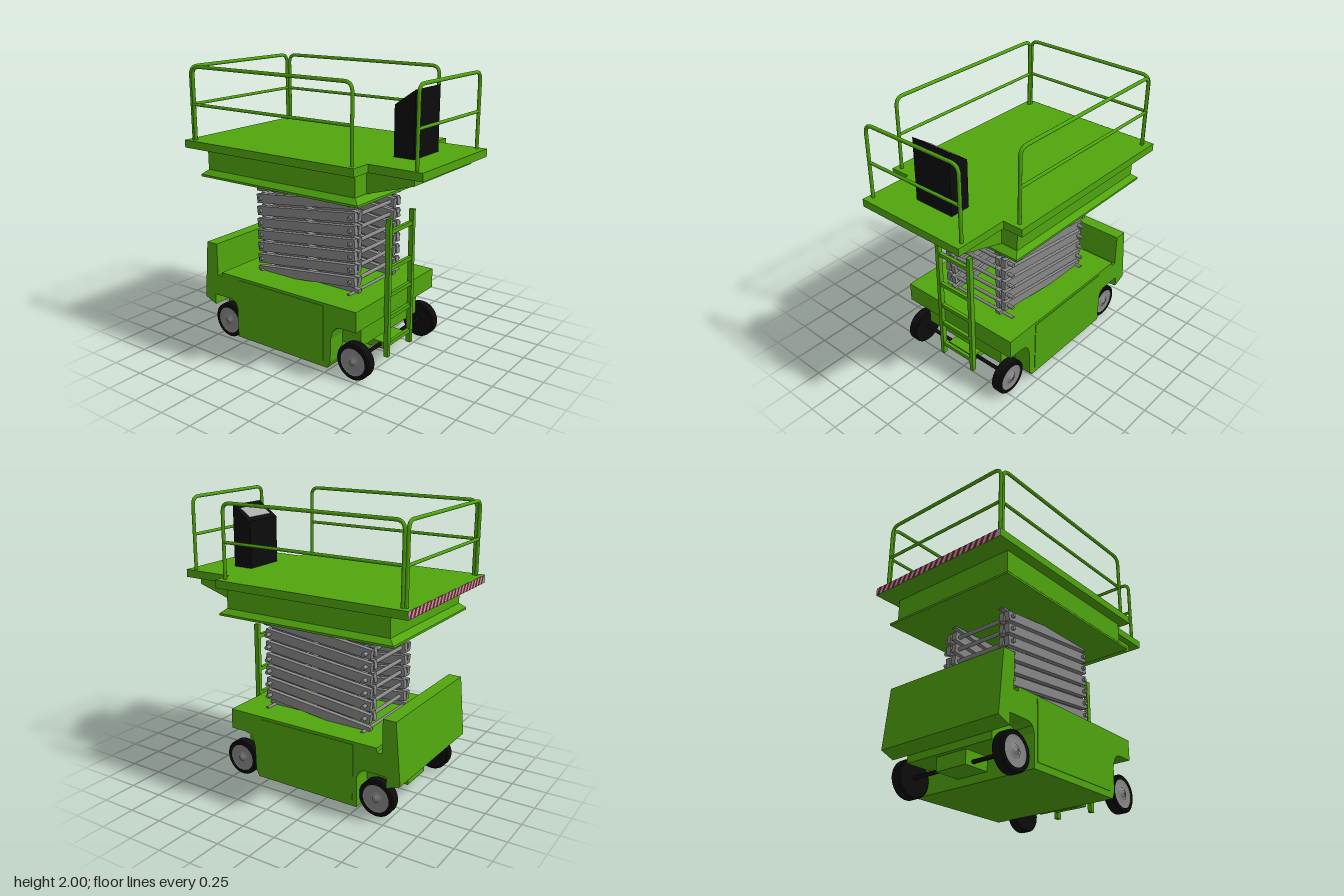
import * as THREE from 'three';

const paint = (color) => new THREE.MeshStandardMaterial({ color, side: THREE.DoubleSide });
const green = paint(0x50a60e), black = paint(0x0c0c0c), steel = paint(0x888888);
const red = paint(0x8c1030), light = paint(0xaaaaaa);

export function createModel() {
  const root = new THREE.Group();

  const add = (name, geometry, material, parent = root) => {
    const mesh = new THREE.Mesh(geometry, material);
    mesh.name = name;
    parent.add(mesh);
    return mesh;
  };
  const group = (name) => {
    const g = new THREE.Group();
    g.name = name;
    root.add(g);
    return g;
  };
  // Box given by its limits on each axis
  const box = (name, mat, [x0, x1], [y0, y1], [z0, z1], parent) => {
    const geo = new THREE.BoxGeometry(x1 - x0, y1 - y0, z1 - z0);
    geo.translate((x0 + x1) / 2, (y0 + y1) / 2, (z0 + z1) / 2);
    return add(name, geo, mat, parent);
  };
  // Side profile in x and y, extruded from z0 to z1
  const prism = (name, mat, pts, z0, z1, parent) => {
    const shape = new THREE.Shape(pts.map(([x, y]) => new THREE.Vector2(x, y)));
    const geo = new THREE.ExtrudeGeometry(shape, { depth: z1 - z0, bevelEnabled: false });
    geo.translate(0, 0, z0);
    return add(name, geo, mat, parent);
  };
  // Round bar along z
  const bar = (name, mat, r, x, y, z0, z1, parent, sides = 12) => {
    const geo = new THREE.CylinderGeometry(r, r, z1 - z0, sides);
    geo.rotateX(Math.PI / 2);
    geo.translate(x, y, (z0 + z1) / 2);
    return add(name, geo, mat, parent);
  };

  // Chassis: outer sides have wheel arches, the core between them does not
  const chassis = group('chassis');
  const zMid = 0.022, zA = -0.466, zB = 0.51;
  const upper = [[0.515, 0.37], [0.515, 0.515], [-0.675, 0.515], [-0.675, 0.485], [-0.715, 0.485],
    [-0.715, 0.725], [-0.81, 0.725], [-0.85, 0.29], [-0.75, 0.25]];
  const sideProfile = [[-0.53, 0.05], [0.28, 0.05], [0.305, 0.1], [0.31, 0.27], [0.325, 0.325], [0.355, 0.36], [0.4, 0.37],
    ...upper, [-0.75, 0.33], [-0.58, 0.33], [-0.545, 0.31], [-0.53, 0.27]];
  const coreProfile = [[-0.53, 0.05], [0.28, 0.05], [0.28, 0.2], [0.46, 0.2], [0.46, 0.37],
    ...upper, [-0.75, 0.2], [-0.53, 0.2]];
  prism('chassisSide', green, sideProfile, zA, zA + 0.135, chassis);
  prism('chassisSide', green, sideProfile, zB - 0.135, zB, chassis);
  prism('chassisCore', green, coreProfile, zA + 0.135, zB - 0.135, chassis);
  box('sidePanel', green, [-0.5, 0.25], [0.095, 0.495], [zB, zB + 0.004], chassis);
  box('sidePanel', green, [-0.5, 0.25], [0.095, 0.495], [zA - 0.004, zA], chassis);
  box('steeringBox', green, [0.28, 0.5], [0.105, 0.155], [-0.1, 0.145], chassis);
  box('steeringMount', green, [0.28, 0.36], [0.07, 0.2], [-0.14, 0.18], chassis);
  box('rearAxleMount', green, [-0.72, -0.53], [0.105, 0.2], [-0.1, 0.145], chassis);

  // Wheels: lathed tyre, hub plate and rings on the outer face
  const tyreProfile = [[0.098, 0.038], [0.12, 0.038], [0.13, 0.03], [0.13, -0.03], [0.12, -0.038], [0, -0.038]]
    .map(([r, h]) => new THREE.Vector2(r, h));
  const hubProfile = [[0.1, 0.035], [0.095, 0.028], [0.048, 0.028], [0.044, 0.034], [0.026, 0.034],
    [0.024, 0.042], [0.012, 0.042], [0.01, 0.048], [0, 0.048]].map(([r, h]) => new THREE.Vector2(r, h));
  for (const x of [-0.655, 0.463]) {
    bar('axle', black, 0.014, x, 0.135, -0.38, 0.42);
    for (const s of [1, -1]) {
      const wheel = group('wheel');
      const tyre = new THREE.LatheGeometry(tyreProfile, 40);
      add('tyre', tyre.toNonIndexed(), black, wheel).geometry.computeVertexNormals();
      add('hub', new THREE.LatheGeometry(hubProfile, 32), steel, wheel);
      wheel.rotation.x = s * Math.PI / 2;
      wheel.position.set(x, 0.132, zMid + s * 0.416);
    }
  }

  // Ladder
  const ladder = group('ladder');
  for (const z of [-0.14, 0.15]) box('ladderRail', green, [0.515, 0.55], [0.07, 1.06], [z, z + 0.03], ladder);
  for (const y of [0.16, 0.355, 0.52, 0.71, 0.965]) {
    box('ladderRung', green, [0.52, 0.545], [y - 0.014, y + 0.014], [-0.12, 0.16], ladder);
  }
  box('ladderPlate', green, [0.505, 0.52], [0.32, 0.515], [-0.12, 0.16], ladder);

  // Scissor stack: crossed arms on both sides, joined by cross rods
  const scissor = group('scissorStack');
  const xL = -0.475, xR = 0.31, pitch = 0.0907, base = 0.512;
  const armLength = Math.hypot(xR - xL, pitch) + 0.07, tilt = Math.atan2(pitch, xR - xL);
  const layers = [[0.272, 1], [0.225, -1], [-0.203, -1], [-0.252, 1]];
  for (let i = 0; i < 8; i++) {
    const y = base + i * pitch;
    for (const [z, dir] of layers) {
      const arm = add('scissorArm', new THREE.BoxGeometry(armLength, 0.066, 0.037), steel, scissor);
      arm.position.set((xL + xR) / 2, y + pitch / 2, z);
      arm.rotation.z = dir * tilt;
    }
    for (const x of [xL, xR]) bar('crossRod', steel, 0.014, x, y, -0.315, 0.31, scissor);
  }

  // Platform: deck, narrower extension, skirt with flared foot
  const platform = group('platform');
  box('deck', green, [-0.92, 0.53], [1.42, 1.475], [-0.567, 0.57], platform);
  box('deckExtension', green, [0.53, 0.92], [1.42, 1.475], [-0.42, 0.418], platform);
  box('skirt', green, [-0.77, 0.49], [1.25, 1.42], [-0.497, 0.497], platform);
  box('skirtFoot', green, [-0.81, 0.535], [1.22, 1.235], [-0.53, 0.533], platform);
  const flare = new THREE.BoxGeometry(1.345, 0.035, 1.063);
  const p = flare.attributes.position;
  for (let i = 0; i < p.count; i++) {
    if (p.getY(i) > 0) p.setXYZ(i, p.getX(i) * 0.937, p.getY(i), p.getZ(i) * 0.935);
  }
  flare.computeVertexNormals();
  add('skirtFlare', flare, green, platform).position.set(-0.138, 1.2525, 0.001);
  prism('extensionSupport', green, [[0.48, 1.27], [0.5, 1.27], [0.835, 1.37], [0.835, 1.42], [0.48, 1.42]], -0.37, 0.37, platform);

  // Slanted warning stripes on the end of the deck
  const stripes = group('warningStripes');
  box('stripeBand', light, [-0.922, -0.919], [1.421, 1.474], [-0.566, 0.569], stripes);
  for (let i = 0; i < 22; i++) {
    const z = -0.56 + i * 0.05;
    const shape = new THREE.Shape([[0, 0], [0.027, 0], [0.052, 0.053], [0.025, 0.053]].map((q) => new THREE.Vector2(...q)));
    const stripe = add('stripe', new THREE.ShapeGeometry(shape), red, stripes);
    stripe.rotation.y = -Math.PI / 2;
    stripe.position.set(-0.9235, 1.421, z);
  }

  // Guard rails: rounded hoop plus a middle rail
  const hoop = (name, a, b) => {
    const rail = group(name), dir = b.clone().sub(a).normalize(), r = 0.06, y0 = 1.47, y1 = 1.985;
    const at = (o, along, y) => new THREE.Vector3(o.x + dir.x * along, y, o.z + dir.z * along);
    const path = new THREE.CurvePath();
    path.add(new THREE.LineCurve3(at(a, 0, y0), at(a, 0, y1 - r)));
    path.add(new THREE.QuadraticBezierCurve3(at(a, 0, y1 - r), at(a, 0, y1), at(a, r, y1)));
    path.add(new THREE.LineCurve3(at(a, r, y1), at(b, -r, y1)));
    path.add(new THREE.QuadraticBezierCurve3(at(b, -r, y1), at(b, 0, y1), at(b, 0, y1 - r)));
    path.add(new THREE.LineCurve3(at(b, 0, y1 - r), at(b, 0, y0)));
    add('hoop', new THREE.TubeGeometry(path, 120, 0.0125, 10), green, rail);
    const mid = new THREE.LineCurve3(at(a, 0, 1.725), at(b, 0, 1.725));
    add('midRail', new THREE.TubeGeometry(mid, 1, 0.011, 10), green, rail);
    return rail;
  };
  const v = (x, z) => new THREE.Vector3(x, 0, z);
  hoop('leftGuardRail', v(-0.855, 0.525), v(0.487, 0.525));
  hoop('rightGuardRail', v(-0.855, -0.512), v(0.487, -0.512));
  hoop('rearGuardRail', v(-0.875, -0.503), v(-0.875, 0.523));
  hoop('extensionGuardRail', v(0.86, -0.386), v(0.86, 0.386));

  // Control console with sloped screen
  const consoleGroup = group('controlConsole');
  prism('consoleBody', black, [[0.55, 1.475], [0.7, 1.475], [0.7, 1.915], [0.55, 1.81]], -0.152, 0.155, consoleGroup);
  const screen = add('consoleScreen', new THREE.BoxGeometry(0.1, 0.004, 0.235), light, consoleGroup);
  screen.position.set(0.621, 1.861, 0.001);
  screen.rotation.z = Math.atan2(0.105, 0.15);

  return root;
}
